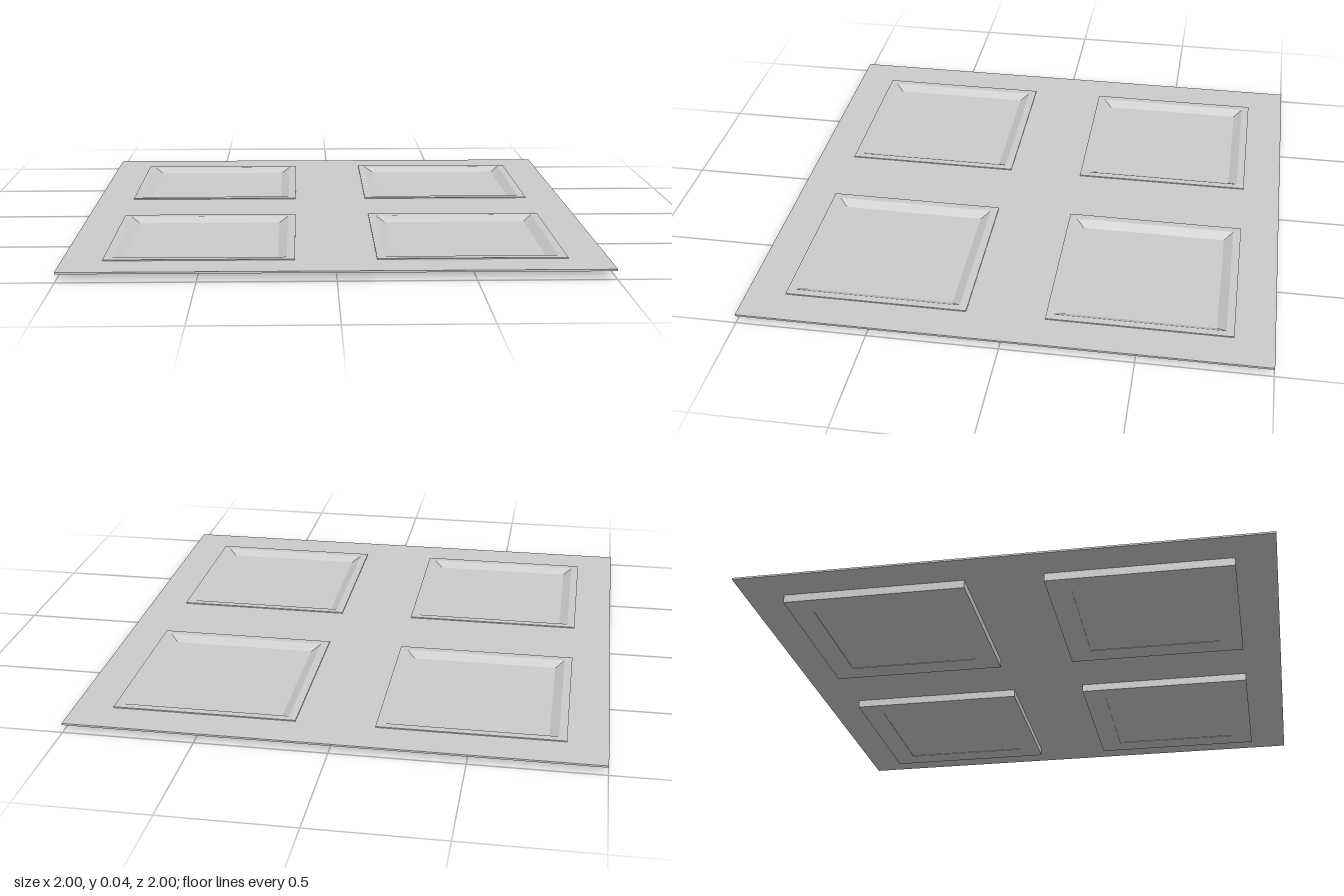
import * as THREE from 'three';

const material = new THREE.MeshStandardMaterial({ color: 0xcccccc, flatShading: true });
const CENTRE = 0.5;   // panel centre offset from the middle
const HALF = 0.35;    // half width of one panel

// Square outline, used for the sheet and for its openings
function square(PathType, x, y, h) {
  const path = new PathType();
  path.moveTo(x - h, y - h);
  path.lineTo(x + h, y - h);
  path.lineTo(x + h, y + h);
  path.lineTo(x - h, y + h);
  path.closePath();
  return path;
}

// Square solid from a profile of [half width, height], bottom centre to top centre
function squareLoft(profile) {
  const points = profile.map(([h, y]) => new THREE.Vector2(h * Math.SQRT2, y));
  return new THREE.LatheGeometry(points, 4, Math.PI / 4);
}

export function createModel() {
  const model = new THREE.Group();
  model.name = 'panelledSheet';

  // Thin sheet with four square openings
  const outline = square(THREE.Shape, 0, 0, 1);
  for (const x of [-CENTRE, CENTRE])
    for (const z of [-CENTRE, CENTRE]) outline.holes.push(square(THREE.Path, x, z, HALF));
  const sheetGeometry = new THREE.ExtrudeGeometry(outline, { depth: 0.007, bevelEnabled: false });
  sheetGeometry.rotateX(-Math.PI / 2).translate(0, 0.031, 0);
  const sheet = new THREE.Mesh(sheetGeometry, material);
  sheet.name = 'sheet';
  model.add(sheet);

  // Square panels: shallow inset below, bevelled recess on top
  const panelGeometry = squareLoft([
    [0, 0.002], [0.26, 0.002], [0.26, 0], [HALF, 0],
    [HALF, 0.042], [0.32, 0.042], [0.285, 0.022], [0, 0.022],
  ]);
  for (const x of [-CENTRE, CENTRE])
    for (const z of [-CENTRE, CENTRE]) {
      const panel = new THREE.Mesh(panelGeometry, material);
      panel.name = `${z > 0 ? 'front' : 'back'}${x > 0 ? 'Left' : 'Right'}Panel`;
      panel.position.set(x, 0, z);
      model.add(panel);
    }

  return model;
}
